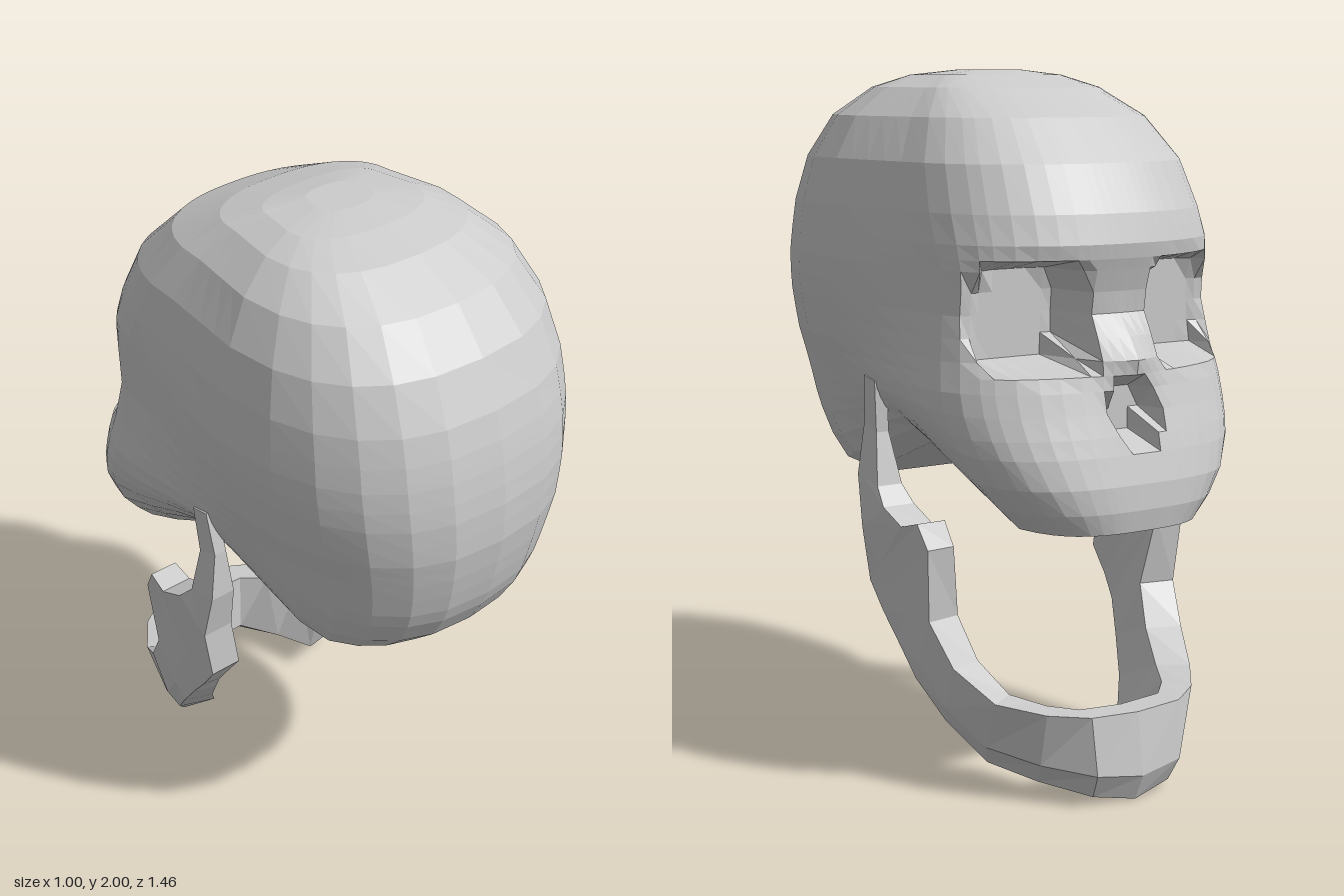
import * as THREE from 'three';

const { lerp, smoothstep } = THREE.MathUtils;
const material = new THREE.MeshStandardMaterial({ color: 0xcccccc, flatShading: true });

// Skin closed rings of [x, y, z] points; both ends are closed by strips across the ring.
function loft(name, rings) {
  const n = rings[0].length;
  const index = [];
  const quad = (a, b, c, d) => {
    if (a !== b && c !== b) index.push(a, b, c);
    if (c !== d && d !== a && a !== c) index.push(a, c, d);
  };
  for (let i = 0; i < rings.length - 1; i++) {
    for (let j = 0; j < n; j++) {
      const k = (j + 1) % n;
      quad(i * n + j, (i + 1) * n + j, (i + 1) * n + k, i * n + k);
    }
  }
  const last = (rings.length - 1) * n;
  for (let j = 0; j < Math.floor(n / 2); j++) {
    const p = n - j - 1, q = (n - j) % n;
    quad(j, j + 1, p, q);
    quad(last + q, last + p, last + j + 1, last + j);
  }
  const indexed = new THREE.BufferGeometry();
  indexed.setAttribute('position', new THREE.Float32BufferAttribute(rings.flat(2), 3));
  indexed.setIndex(index);
  const geometry = indexed.toNonIndexed();
  geometry.computeVertexNormals();
  const mesh = new THREE.Mesh(geometry, material);
  mesh.name = name;
  return mesh;
}

// Piecewise linear lookup in rows sorted by descending first value.
function sample(rows, v) {
  let i = 0;
  while (i < rows.length - 2 && v < rows[i + 1][0]) i++;
  const t = THREE.MathUtils.clamp((rows[i][0] - v) / (rows[i][0] - rows[i + 1][0]), 0, 1);
  return rows[i].map((a, k) => lerp(a, rows[i + 1][k], t));
}

// Horizontal sections: y, back z, rear-side z and half width, front-side z and half width, face z
const SECTIONS = [
  [2.0, 0.13, 0.07, 0.09, 0.02, 0.08, -0.02],
  [1.985, 0.24, 0.1, 0.22, 0.0, 0.2, -0.1],
  [1.95, 0.37, 0.12, 0.31, -0.05, 0.28, -0.23],
  [1.87, 0.52, 0.14, 0.40, -0.1, 0.36, -0.41],
  [1.75, 0.62, 0.15, 0.46, -0.15, 0.42, -0.54],
  [1.62, 0.68, 0.15, 0.488, -0.2, 0.44, -0.61],
  [1.53, 0.705, 0.15, 0.495, -0.25, 0.445, -0.635],
  [1.45, 0.72, 0.15, 0.5, -0.3, 0.44, -0.61],
  [1.36, 0.73, 0.15, 0.492, -0.3, 0.44, -0.585],
  [1.24, 0.73, 0.15, 0.47, -0.3, 0.455, -0.635],
  [1.12, 0.71, 0.15, 0.435, -0.33, 0.475, -0.665],
  [1.0, 0.68, 0.15, 0.41, -0.34, 0.455, -0.70],
  [0.9, 0.62, 0.15, 0.38, -0.34, 0.40, -0.725],
  [0.83, 0.54, 0.15, 0.35, -0.36, 0.34, -0.73],
  [0.77, 0.38, 0.2, 0.27, -0.38, 0.28, -0.72],
];
const LEVELS = [2.0, 1.985, 1.95, 1.87, 1.75, 1.62, 1.54, 1.5, 1.47, 1.41, 1.35, 1.29, 1.23,
  1.19, 1.15, 1.09, 1.03, 0.98, 0.9, 0.83, 0.77];
// Face columns as fractions of the half width, from cheek to nose line
const FACE_COLUMNS = [0.98, 0.93, 0.86, 0.8, 0.7, 0.58, 0.46, 0.34, 0.27, 0.2, 0.14, 0.07, 0];
// Height of the hollow under the skull: z, rise
const ARCH = [[0.36, 0], [0.1, 0.09], [-0.11, 0.16], [-0.5, 0]];

function skullPoint(x, y, z, u) {
  if (u < 1) {
    // nasal bone
    z -= 0.05 * Math.max(0, 1 - x / 0.12) * Math.max(0, 1 - Math.abs(y - 1.24) / 0.12);
    // eye socket
    const eye = Math.abs((u - 0.56) / 0.34) ** 4 + Math.abs((y - 1.345) / 0.155) ** 4;
    z = lerp(z, Math.max(z, -0.435), 1 - smoothstep(eye, 0.5, 1.05));
    // nose opening
    const nose = (x / 0.08) ** 2 + ((y - 1.09) / 0.1) ** 2;
    z = lerp(z, -0.59, 1 - smoothstep(nose, 0.8, 1));
  }
  // squeeze the lowest levels upwards over the hollow
  const floor = 0.77 + sample(ARCH, z)[1] * (1 + 0.4 * (x / 0.42) ** 2);
  const top = 1.12;
  return [x, y < top ? lerp(floor, top, (y - 0.77) / (top - 0.77)) : y, z];
}

function skullRing(level) {
  const [y, zBack, zRear, wRear, zSide, wFront, zFace] = sample(SECTIONS, level);
  const half = [];
  // rounded back of the head
  for (let i = 0; i <= 6; i++) {
    const a = (i / 6) * Math.PI / 2, e = 2 / 2.5;
    half.push(skullPoint(wRear * Math.sin(a) ** e,
      y, zRear + (zBack - zRear) * Math.max(0, Math.cos(a)) ** e, 2));
  }
  // temples
  for (let i = 1; i <= 4; i++) {
    half.push(skullPoint(lerp(wRear, wFront, i / 4), y, lerp(zRear, zSide, i / 4), 2));
  }
  // forehead and face, squarer towards the teeth
  const power = lerp(3.1, 2.4, smoothstep(y, 0.85, 1.15));
  for (const u of FACE_COLUMNS) {
    const bulge = (1 - u ** power) ** (1 / power);
    half.push(skullPoint(wFront * u, y, lerp(zSide, zFace, bulge), u));
  }
  const mirrored = half.slice(1, -1).reverse().map(([x, py, z]) => [-x, py, z]);
  return [...half, ...mirrored];
}

// Jaw stations from joint to chin: lower edge z, y, x, upper edge z, y, x, thickness, inward angle
const JAW = [
  [0.01, 1.14, 0.455, -0.05, 1.13, 0.455, 0.04, 0],
  [0.03, 1.0, 0.445, -0.04, 0.98, 0.445, 0.04, 0],
  [0.035, 0.85, 0.465, -0.07, 0.83, 0.46, 0.08, 0],
  [0.0, 0.7, 0.472, -0.12, 0.78, 0.47, 0.1, 0],
  [0.0, 0.54, 0.448, -0.21, 0.74, 0.465, 0.1, 0],
  [-0.06, 0.46, 0.44, -0.28, 0.76, 0.455, 0.09, 0],
  [-0.12, 0.39, 0.43, -0.32, 0.69, 0.445, 0.09, 0.1],
  [-0.2, 0.29, 0.415, -0.3, 0.48, 0.43, 0.11, 0.2],
  [-0.29, 0.18, 0.37, -0.38, 0.36, 0.4, 0.11, 0.35],
  [-0.38, 0.07, 0.29, -0.5, 0.28, 0.34, 0.1, 0.6],
  [-0.53, 0.045, 0.22, -0.62, 0.265, 0.25, 0.09, 1.0],
  [-0.67, 0.025, 0.13, -0.69, 0.26, 0.15, 0.08, 1.4],
  [-0.69, 0.0, 0, -0.7, 0.255, 0, 0.08, Math.PI / 2],
];

function jawRing([zl, yl, xl, zu, yu, xu, thick, angle], side) {
  const dx = -Math.cos(angle) * thick, dz = Math.sin(angle) * thick;
  const chin = Math.sin(angle);
  return [
    [xl, yl, zl],
    [lerp(xl, xu, 0.3) - 0.4 * chin * dx, lerp(yl, yu, 0.3), lerp(zl, zu, 0.3) - 0.4 * chin * dz],
    [xu, yu, zu],
    [xu + dx, yu, zu + dz],
    [xl + dx, yl + 0.05 * chin, zl + dz],
  ].map(([x, y, z]) => [x * side, y, z]);
}

export function createModel() {
  const group = new THREE.Group();
  group.name = 'skull';
  group.add(loft('cranium', LEVELS.map(skullRing)));
  const left = JAW.map((s) => jawRing(s, 1));
  const right = JAW.slice(0, -1).reverse().map((s) => jawRing(s, -1).map((p) => p));
  group.add(loft('lowerJaw', [...left, ...right]));
  return group;
}
